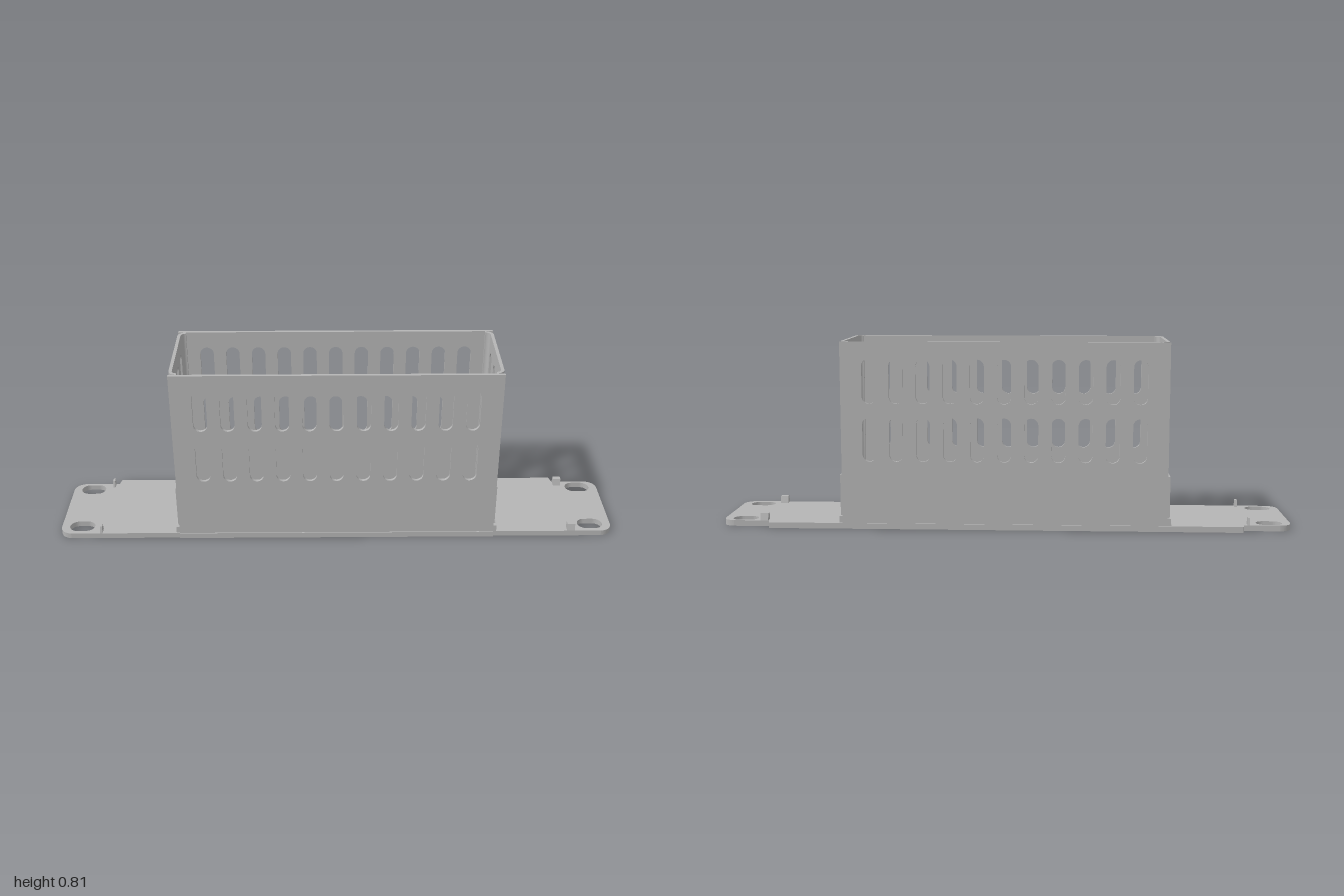
import * as THREE from 'three';

// Local frame: x runs along the bracket, z across it; the whole is turned 45 degrees at the end.
const T = 0.014, TOP = 0.81, END = 0.70, BACK = -0.235, FRONT = 0.205, R = 0.035, BASE = 0.025;

// Rounded slot, long along its own axis (vertical or horizontal)
function slot(cx, cy, length, width, vertical) {
  const p = new THREE.Path(), r = width / 2, h = length / 2 - r;
  if (vertical) {
    p.absarc(cx, cy + h, r, 0, Math.PI, false);
    p.absarc(cx, cy - h, r, Math.PI, Math.PI * 2, false);
  } else {
    p.absarc(cx + h, cy, r, -Math.PI / 2, Math.PI / 2, false);
    p.absarc(cx - h, cy, r, Math.PI / 2, Math.PI * 1.5, false);
  }
  p.closePath();
  return p;
}

function extrude(shape, depth) {
  return new THREE.ExtrudeGeometry(shape, { depth, bevelEnabled: false, curveSegments: 10 });
}

// Flat shape in (x, z), extruded from y0 up to y1
function slab(shape, y0, y1) {
  return extrude(shape, y1 - y0).rotateX(Math.PI / 2).translate(0, y1, 0);
}

// Upright sheet with two rows of slots
function slottedSheet(x0, x1, centres) {
  const s = new THREE.Shape();
  s.moveTo(x0, 0);
  s.lineTo(x1, 0);
  s.lineTo(x1, TOP);
  s.lineTo(x0, TOP);
  s.closePath();
  for (const c of centres)
    for (const y of [0.39, 0.64]) s.holes.push(slot(c, y, 0.19, 0.06, true));
  return extrude(s, T);
}

export function createModel() {
  const model = new THREE.Group();
  const bracket = new THREE.Group();
  bracket.name = 'slottedBracket';
  model.add(bracket);
  const steel = new THREE.MeshStandardMaterial({ color: 0xb4b4b4 });
  steel.name = 'grey steel';

  const add = (name, geometry, x = 0, y = 0, z = 0) => {
    const m = new THREE.Mesh(geometry, steel);
    m.name = name;
    m.position.set(x, y, z);
    bracket.add(m);
    return m;
  };
  const box = (name, w, h, d, x, y, z) => add(name, new THREE.BoxGeometry(w, h, d), x, y, z);

  // Long walls with eleven columns of slots
  const longCentres = Array.from({ length: 11 }, (_, i) => (i - 5) * 0.1155);
  add('frontWall', slottedSheet(-END, END, longCentres), 0, 0, FRONT - T);
  add('backWall', slottedSheet(-END, END, longCentres), 0, 0, BACK);

  // Sills along the foot of the long walls
  box('frontSill', 2 * END, BASE, 0.004, 0, BASE / 2, FRONT + 0.002);
  box('backSill', 2 * END, BASE, 0.004, 0, BASE / 2, BACK - 0.002);

  const zIn0 = BACK + T, zIn1 = FRONT - T, zMid = (BACK + FRONT) / 2;
  for (const side of [-1, 1]) {
    const label = side > 0 ? 'left' : 'right';

    // End wall with three columns of slots
    const sheet = slottedSheet(zIn0 + R, zIn1 - R, [-1, 0, 1].map(i => zMid - 0.008 + i * 0.119));
    sheet.rotateY(-Math.PI / 2);
    add(label + 'EndWall', sheet, side > 0 ? END : -END + T);

    // Rounded bends joining the end wall to the long walls
    for (const zs of [-1, 1]) {
      const cx = side * (END - R), cz = zs > 0 ? zIn1 - R : zIn0 + R;
      const a0 = side > 0 ? (zs > 0 ? 0 : -Math.PI / 2) : (zs > 0 ? Math.PI / 2 : Math.PI);
      const bend = new THREE.Shape();
      bend.absarc(cx, cz, R, a0, a0 + Math.PI / 2, false);
      bend.absarc(cx, cz, R - T, a0 + Math.PI / 2, a0, true);
      bend.closePath();
      add(label + 'CornerBend', slab(bend, 0, TOP));
      // Small ear at the foot of the corner
      box(label + 'CornerEar', 0.016, 0.03, 0.02, side * (END + 0.006), BASE + 0.015,
        zs > 0 ? FRONT - 0.012 : BACK + 0.012);
    }

    // Overlapping tab on the lower end wall, with its bend at the foot
    box(label + 'EndTab', 0.01, 0.235, 0.385, side * (END + 0.005), 0.1175, zMid - 0.012);
    const foot = new THREE.Shape();
    foot.moveTo(side * END, BASE);
    foot.lineTo(side * (END + 0.024), BASE);
    foot.quadraticCurveTo(side * (END + 0.01), BASE, side * (END + 0.01), BASE + 0.014);
    foot.lineTo(side * END, BASE + 0.014);
    foot.closePath();
    add(label + 'TabFoot', extrude(foot, 0.385), 0, 0, zMid - 0.012 - 0.1925);

    // Mounting plate: wider behind, stepped near its rounded end
    const e = 1.235, r = 0.05, w = 0.205, step = 1.022;
    const plate = new THREE.Shape();
    plate.moveTo(side * 0.676, zIn1 - 0.03);
    plate.lineTo(side * END, FRONT);
    plate.lineTo(side * (e - r), w);
    plate.quadraticCurveTo(side * (e - 0.006), w - 0.006, side * e, w - r);
    plate.lineTo(side * e, -w + r);
    plate.quadraticCurveTo(side * (e - 0.006), -w + 0.006, side * (e - r), -w);
    plate.lineTo(side * (step + 0.008), -w);
    plate.lineTo(side * step, BACK - 0.006);
    plate.lineTo(side * END, BACK - 0.004);
    plate.lineTo(side * 0.676, zIn0 + 0.03);
    plate.closePath();
    for (const z of [-0.157, 0.148]) plate.holes.push(slot(side * 1.143, z, 0.112, 0.074, false));
    add(label + 'MountingPlate', slab(plate, 0, BASE));

    // Tapered locating pegs: thin on the right, broad on the left
    const thick = side > 0 ? 0.034 : 0.01;
    for (const z of [-0.19, 0.187]) {
      const peg = new THREE.Shape();
      peg.moveTo(-0.018, 0);
      peg.lineTo(0.018, 0);
      peg.lineTo(0.011, 0.032);
      peg.lineTo(-0.011, 0.032);
      peg.closePath();
      const g = extrude(peg, thick).translate(0, 0, -thick / 2).rotateY(Math.PI / 2);
      add(label + 'Peg', g, side * 1.05, BASE, z);
    }
  }

  bracket.rotation.y = Math.PI / 4;
  return model;
}
